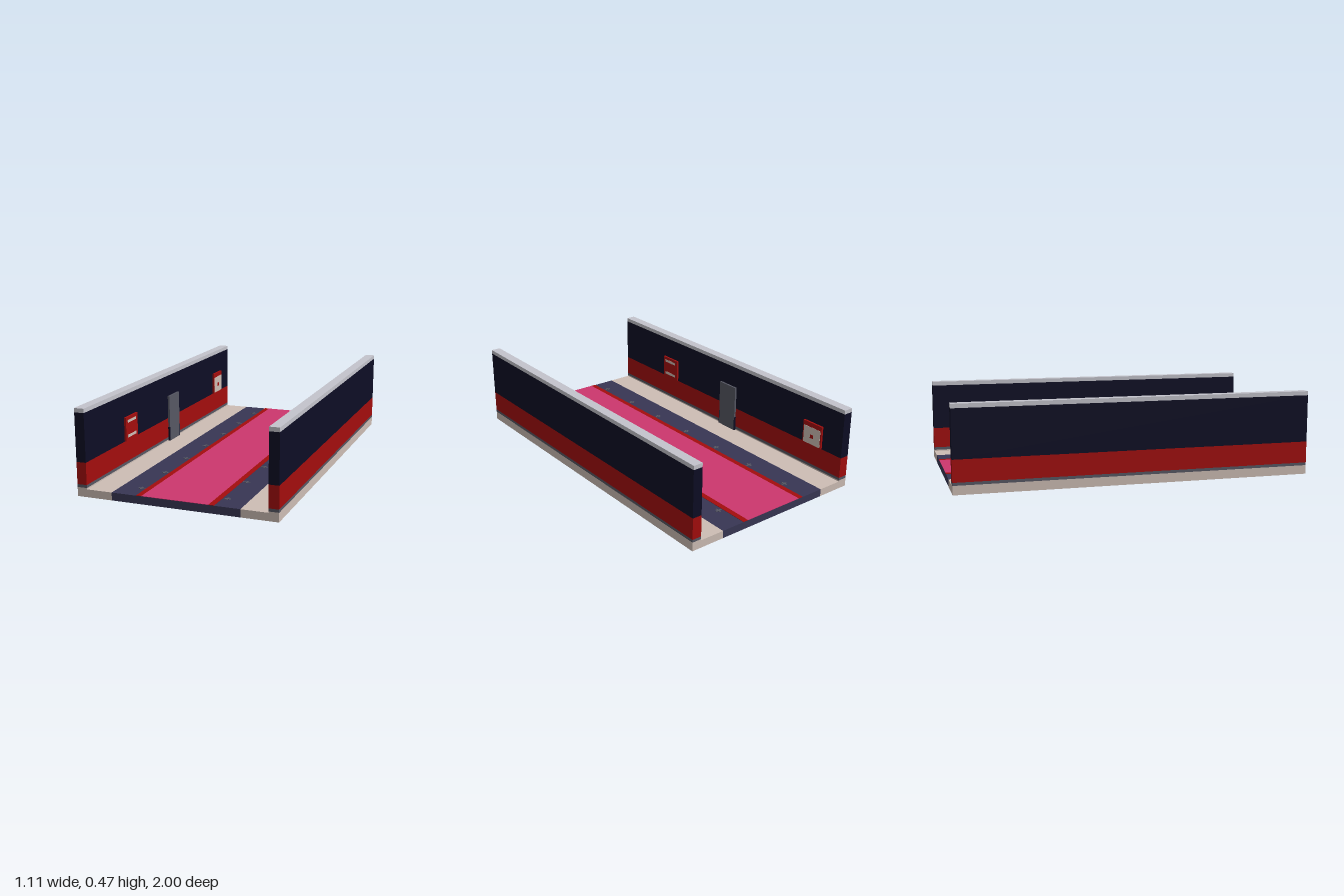
import * as THREE from 'three';

const mat = (name, color) => {
  const m = new THREE.MeshStandardMaterial({ color });
  m.name = name;
  return m;
};

export function createModel() {
  const beige = mat('beige', 0xcdbdb4);
  const slate = mat('slateBlue', 0x383654);
  const navy = mat('navy', 0x0d0d24);
  const red = mat('red', 0xa30d0d);
  const pink = mat('pink', 0xcc376e);
  const pale = mat('paleGrey', 0xc4c4cc);
  const grey = mat('grey', 0x565763);

  const model = new THREE.Group();
  model.name = 'corridorSection';

  // box given by its minimum and maximum along each axis
  const box = (parent, name, material, [x0, x1], [y0, y1], [z0, z1]) => {
    const mesh = new THREE.Mesh(new THREE.BoxGeometry(x1 - x0, y1 - y0, z1 - z0), material);
    mesh.position.set((x0 + x1) / 2, (y0 + y1) / 2, (z0 + z1) / 2);
    mesh.name = name;
    parent.add(mesh);
  };
  const full = [-1, 1];
  const floorY = 0.043;

  // floor slab with a carpet runner
  box(model, 'floorCentre', slate, [-0.355, 0.355], [0, floorY], full);
  box(model, 'carpet', pink, [-0.185, 0.185], [floorY, floorY + 0.002], full);

  for (const s of [-1, 1]) {
    const span = (a, b) => (s > 0 ? [a, b] : [-b, -a]);
    const side = new THREE.Group();
    side.name = s > 0 ? 'leftSide' : 'rightSide';
    model.add(side);
    box(side, 'floorEdge', beige, span(0.355, 0.555), [0, floorY], full);
    box(side, 'carpetBorder', red, span(0.185, 0.215), [floorY, floorY + 0.002], full);

    // wall in horizontal bands
    const bands = [
      ['wallFoot', beige, floorY, 0.05],
      ['skirting', grey, 0.05, 0.066],
      ['lowerWall', red, 0.066, 0.187],
      ['upperWall', navy, 0.187, 0.452],
      ['wallCap', pale, 0.452, 0.475],
    ];
    for (const [name, m, y0, y1] of bands) box(side, name, m, span(0.5, 0.555), [y0, y1], full);

    // small cross-shaped floor lights
    for (let i = 0; i < 7; i++) {
      const z = -0.832 + i * 0.286;
      box(side, 'floorLight', grey, span(0.22, 0.258), [floorY, floorY + 0.002], [z - 0.005, z + 0.005]);
      box(side, 'floorLight', grey, span(0.236, 0.246), [floorY, floorY + 0.0025], [z - 0.017, z + 0.017]);
    }

    // door with a dark kick edge at its foot
    const doorZ = s > 0 ? 0.355 : -0.07;
    box(side, 'door', grey, span(0.488, 0.5), [floorY, 0.325], [doorZ - 0.07, doorZ + 0.07]);
    for (const e of [-1, 1]) {
      const z = doorZ + e * 0.07;
      box(side, 'doorKickEdge', navy, span(0.4875, 0.5), [floorY, 0.13], [z - 0.002, z + 0.002]);
    }

    // red wall panel with pale bands
    const bandZ = -s * 0.5;
    box(side, 'bandedPanel', red, span(0.488, 0.5), [0.19, 0.325], [bandZ - 0.07, bandZ + 0.07]);
    for (const y of [0.215, 0.3]) {
      box(side, 'panelBand', beige, span(0.4865, 0.488), [y - 0.008, y + 0.008], [bandZ - 0.05, bandZ + 0.05]);
    }

    // framed panel with a pale face and a small red knob mark
    const frameZ = s * 0.787;
    box(side, 'framedPanel', red, span(0.488, 0.5), [0.19, 0.325], [frameZ - 0.07, frameZ + 0.07]);
    box(side, 'panelFace', beige, span(0.4865, 0.488), [0.194, 0.298], [frameZ - 0.062, frameZ + 0.062]);
    box(side, 'panelMark', red, span(0.4855, 0.4865), [0.232, 0.254], [frameZ - 0.012, frameZ + 0.012]);
  }
  return model;
}
